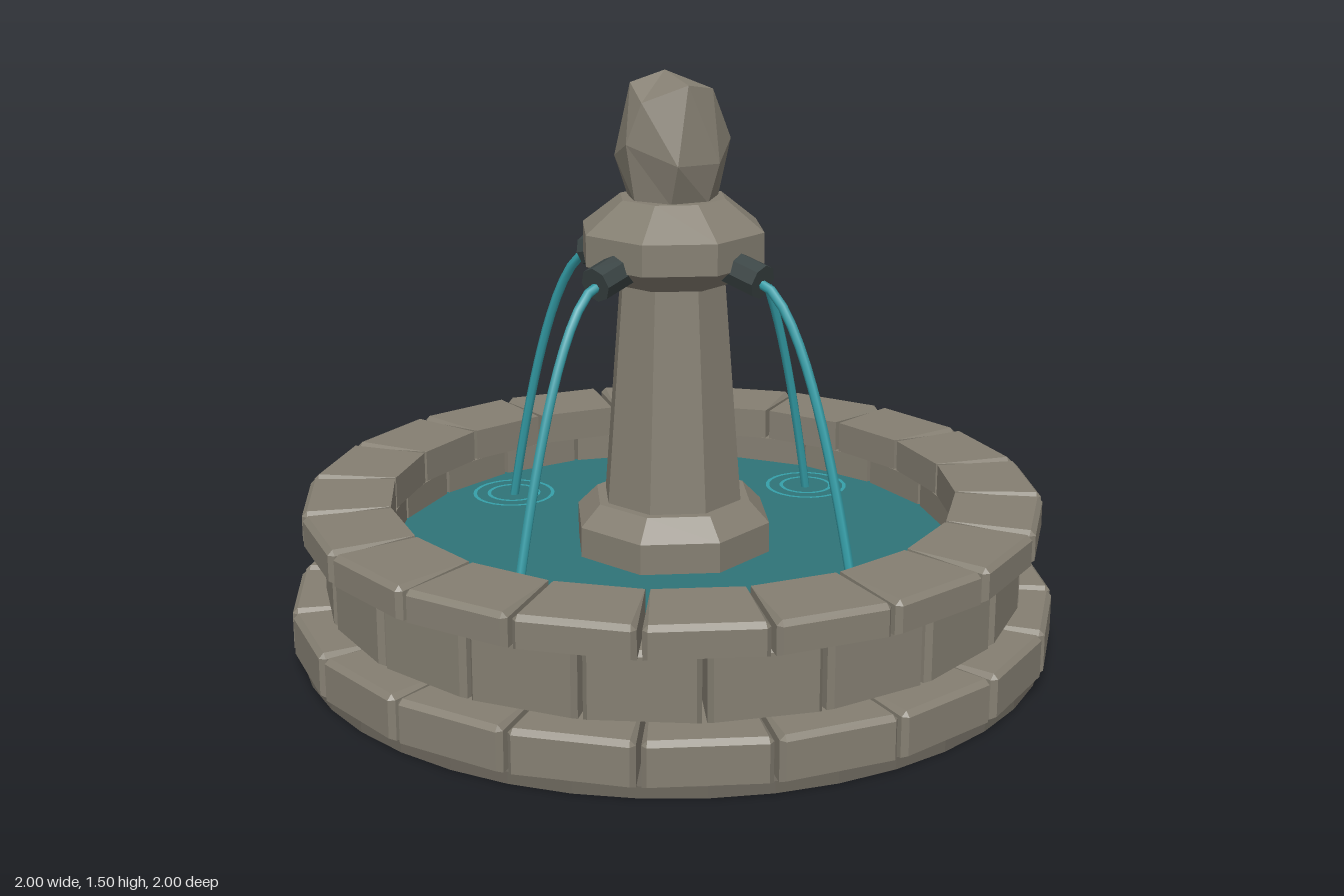
import * as THREE from 'three';
import { ConvexGeometry } from 'three/addons/geometries/ConvexGeometry.js';

const mat = (name, color) => {
  const m = new THREE.MeshStandardMaterial({ color });
  m.name = name;
  return m;
};

const flat = (geo) => {
  const g = geo.index ? geo.toNonIndexed() : geo;
  g.computeVertexNormals();
  return g;
};

// Faceted lathe; profile is [distance to flat, y] from bottom to top, flats on the axes
const octagon = (profile) => {
  const k = 1 / Math.cos(Math.PI / 8);
  const pts = profile.map(([r, y]) => new THREE.Vector2(r * k, y));
  return flat(new THREE.LatheGeometry(pts, 8, Math.PI / 8));
};

export function createModel() {
  const stone = mat('stone', 0x857f72);
  const darkStone = mat('darkStone', 0x6c675d);
  const waterMat = mat('water', 0x2f7478);
  const jetMat = mat('brightWater', 0x35a0aa);
  const iron = mat('iron', 0x3a4444);

  const model = new THREE.Group();
  model.name = 'fountain';
  const add = (name, geo, material, parent = model) => {
    const mesh = new THREE.Mesh(geo, material);
    mesh.name = name;
    parent.add(mesh);
    return mesh;
  };

  // Foundation slab
  const slab = add('foundation', flat(new THREE.CylinderGeometry(0.98, 0.98, 0.03, 40)), darkStone);
  slab.position.y = 0.015;

  // Chamfered wedge-shaped stone block, centred on +z
  const COUNT = 20, HALF = Math.PI / COUNT;
  const blockGeometry = (rIn, rOut, y0, y1) => {
    const gap = 0.006, b = 0.013;
    const pts = [];
    for (const s of [-1, 1]) {
      const corner = (r, y, inset) => pts.push(new THREE.Vector3(
        s * (r * Math.sin(HALF) - (gap + inset) * Math.cos(HALF)), y,
        r * Math.cos(HALF) + (gap + inset) * Math.sin(HALF)));
      corner(rIn, y0, 0);
      corner(rIn, y1, 0);
      corner(rOut - b, y0, 0);
      corner(rOut - b, y1 - b, 0);
      corner(rOut - b, y1, b);
      corner(rOut, y0 + b * 0.5, b);
      corner(rOut, y1 - b, b);
    }
    return new ConvexGeometry(pts);
  };

  // Three courses, the middle one staggered by half a block
  const courses = [
    ['lowerCourse', 0.74, 1.0, 0.03, 0.145, 0.5],
    ['middleCourse', 0.745, 0.913, 0.145, 0.32, 0],
    ['rimCourse', 0.74, 0.965, 0.32, 0.405, 0.5],
  ];
  for (const [name, rIn, rOut, y0, y1, shift] of courses) {
    const course = new THREE.Group();
    course.name = name;
    const geo = blockGeometry(rIn, rOut, y0, y1);
    for (let i = 0; i < COUNT; i++) {
      add('stoneBlock', geo, stone, course).rotation.y = (i + shift) * 2 * HALF;
    }
    model.add(course);
  }

  // Water surface
  const water = add('water', new THREE.CircleGeometry(0.755, 40), waterMat);
  water.rotation.x = -Math.PI / 2;
  water.position.y = 0.25;

  // Pedestal, column and collar
  add('pedestal', octagon([[0.245, 0.03], [0.245, 0.33], [0.195, 0.385], [0, 0.385]]), stone);
  add('column', octagon([[0.173, 0.38], [0.13, 0.98]]), stone);
  add('collar', octagon([[0, 0.965], [0.15, 0.965], [0.225, 1.02], [0.225, 1.1],
    [0.13, 1.18], [0, 1.18]]), stone);

  // Rough-hewn finial: a seven-sided lathe with each ring nudged by a rule
  const SIDES = 7;
  const rings = [[0, 1.17], [0.118, 1.175], [0.148, 1.3], [0.112, 1.45], [0, 1.5]];
  const finial = new THREE.LatheGeometry(rings.map(([r, y]) => new THREE.Vector2(r, y)), SIDES);
  const pos = finial.attributes.position;
  for (let v = 0; v < pos.count; v++) {
    const ring = v % rings.length;
    const side = Math.floor(v / rings.length) % SIDES;
    if (ring === 4) pos.setXYZ(v, -0.012, 1.5, -0.015);
    if (ring < 2 || ring > 3) continue;
    const angle = (side + (ring - 2) * 0.35) / SIDES * Math.PI * 2 + 0.12 * Math.sin(side * 4.1 + ring);
    const r = rings[ring][0] * (1 + 0.06 * Math.sin(side * 2.7 + ring * 1.9));
    const y = rings[ring][1] + 0.025 * Math.sin(side * 3.3 + ring * 2.2);
    pos.setXYZ(v, r * Math.sin(angle), y, r * Math.cos(angle));
  }
  add('finial', flat(finial), stone);

  // Four spouts, each with an arcing jet and ripples where it lands
  const nozzleGeo = flat(new THREE.CylinderGeometry(0.045, 0.045, 0.11, 8));
  const arc = new THREE.QuadraticBezierCurve3(
    new THREE.Vector3(0.27, 1.0, 0),
    new THREE.Vector3(0.429, 1.0, 0),
    new THREE.Vector3(0.588, 0.25, 0));
  const jetGeo = new THREE.TubeGeometry(arc, 16, 0.0125, 6);
  const rippleGeos = [0.07, 0.11].map((r) => new THREE.RingGeometry(r - 0.005, r + 0.005, 24));
  for (let i = 0; i < 4; i++) {
    const spout = new THREE.Group();
    spout.name = 'spout';
    spout.rotation.y = i * Math.PI / 2;
    const nozzle = add('nozzle', nozzleGeo, iron, spout);
    nozzle.position.set(0.24, 1.012, 0);
    nozzle.rotation.z = -Math.PI / 2 - 0.24;
    add('waterJet', jetGeo, jetMat, spout);
    for (const geo of rippleGeos) {
      const ripple = add('ripple', geo, jetMat, spout);
      ripple.rotation.x = -Math.PI / 2;
      ripple.position.set(0.59, 0.254, 0);
    }
    model.add(spout);
  }
  return model;
}
